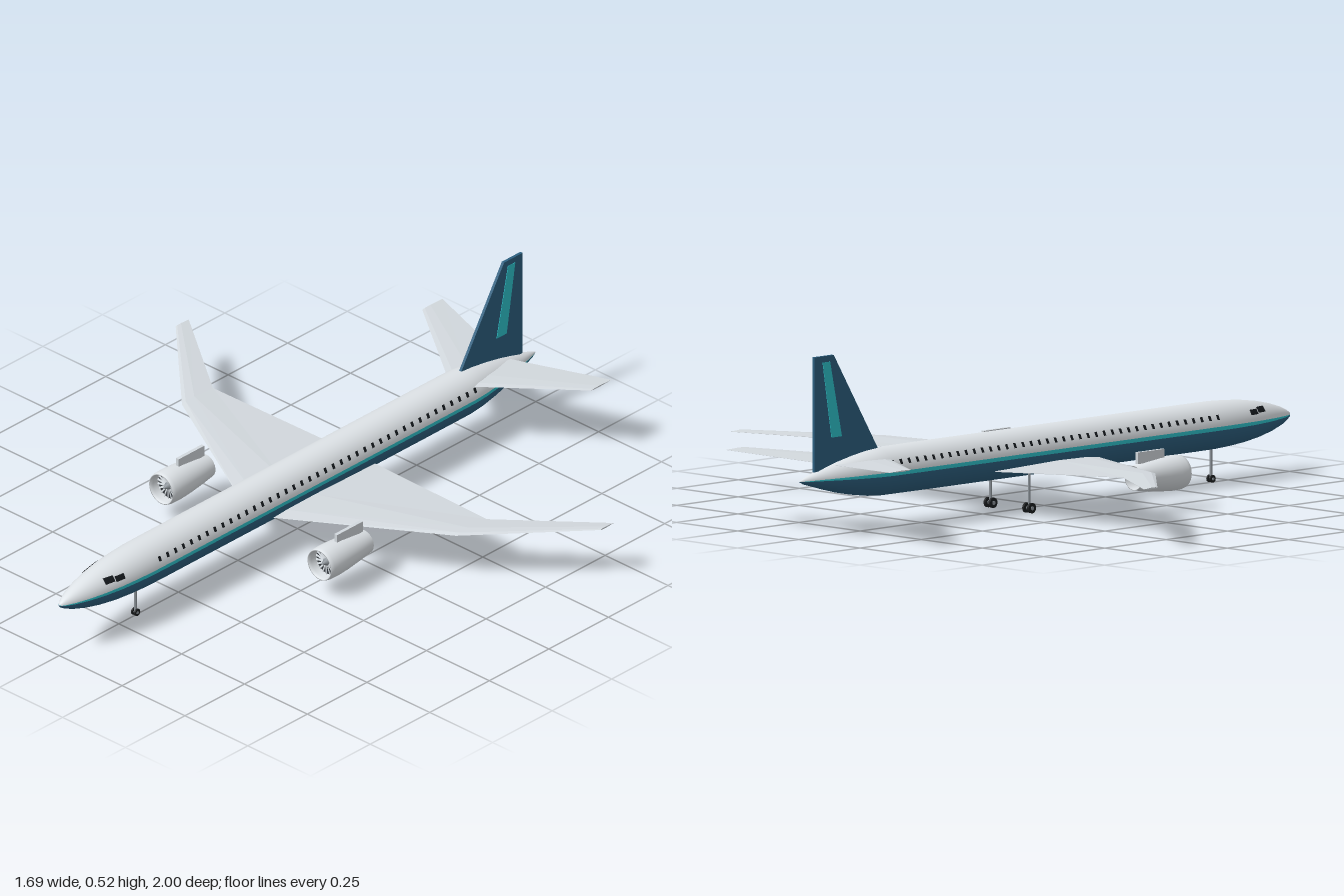
import * as THREE from 'three';

const mat = (name, color, side = THREE.FrontSide) => {
  const m = new THREE.MeshStandardMaterial({ color, side });
  m.name = name;
  return m;
};
const white = mat('white paint', 0xdfe4e8);
const wingGrey = mat('wing grey', 0xd3d9de, THREE.DoubleSide);
const blue = mat('deep blue', 0x2d6080);
const cyan = mat('cyan stripe', 0x2fc4cd, THREE.DoubleSide);
const glass = mat('dark glass', 0x14181c, THREE.DoubleSide);
const metal = mat('metal grey', 0x8b9298, THREE.DoubleSide);
const dark = mat('fan dark', 0x33383d);
const rubber = mat('tyre black', 0x1b1d1f);

const CY = 0.167; // height of the fuselage axis
// fuselage profile, tail to nose: [radius, z]
const profile = [[0, -1], [0.009, -0.98], [0.019, -0.945], [0.032, -0.9], [0.045, -0.85], [0.057, -0.79],
  [0.066, -0.73], [0.07, -0.68], [0.0705, -0.5], [0.0705, 0.6], [0.07, 0.68], [0.067, 0.74], [0.062, 0.8],
  [0.053, 0.86], [0.042, 0.91], [0.028, 0.955], [0.016, 0.982], [0.008, 0.995], [0, 1]];

function radiusAt(z) {
  const i = Math.max(1, profile.findIndex((p) => p[1] >= z));
  const [r0, z0] = profile[i - 1], [r1, z1] = profile[i];
  return r0 + (r1 - r0) * (z - z0) / (z1 - z0);
}

function add(parent, name, geometry, material, x = 0, y = 0, z = 0) {
  const m = new THREE.Mesh(geometry, material);
  m.name = name;
  m.position.set(x, y, z);
  parent.add(m);
  return m;
}

// Lathe lying along z; phi 0 is the underside, PI the top
function latheZ(points, segments = 32, start = 0, length = Math.PI * 2) {
  return new THREE.LatheGeometry(points.map((p) => new THREE.Vector2(...p)), segments, start, length)
    .rotateX(Math.PI / 2);
}

// Thin panel that hugs the fuselage side between two heights
function hullPatch(s, z0, z1, y0, y1, n) {
  const g = new THREE.PlaneGeometry(1, 1, n, n);
  const p = g.attributes.position;
  for (let i = 0; i < p.count; i++) {
    const z = z0 + (z1 - z0) * (p.getX(i) + 0.5);
    const y = y0 + (y1 - y0) * (p.getY(i) + 0.5);
    const r = radiusAt(z) + 0.0015;
    p.setXYZ(i, s * Math.sqrt(Math.max(0, r * r - (y - CY) ** 2)), y, z);
  }
  if (s > 0) g.index.array.reverse();
  g.computeVertexNormals();
  return g;
}

// Lifting surface lofted through sections [x, zLeading, zTrailing, y, thickness]
function loft(sections, s) {
  const loops = sections.map(([x, le, te, y, t]) => {
    const at = (f, h) => [s * x, y + h * t, le + (te - le) * f];
    return [at(0, 0), at(0.12, 0.38), at(0.4, 0.5), at(1, 0.05), at(1, -0.05), at(0.4, -0.5), at(0.12, -0.38)];
  });
  const n = loops[0].length, out = [];
  const tri = (a, b, c) => out.push(...a, ...(s > 0 ? [...b, ...c] : [...c, ...b]));
  for (let i = 0; i < loops.length - 1; i++) {
    for (let j = 0; j < n; j++) {
      const k = (j + 1) % n, A = loops[i], B = loops[i + 1];
      tri(A[j], B[j], B[k]);
      tri(A[j], B[k], A[k]);
    }
  }
  const tip = loops[loops.length - 1];
  for (let j = 1; j < n - 1; j++) tri(tip[0], tip[j + 1], tip[j]);
  const g = new THREE.BufferGeometry();
  g.setAttribute('position', new THREE.Float32BufferAttribute(out, 3));
  g.computeVertexNormals();
  return g;
}

// Flat plate outlined in (z, y), centred on x
function plate(points, thickness) {
  const shape = new THREE.Shape(points.map(([z, y]) => new THREE.Vector2(-z, y)));
  return new THREE.ExtrudeGeometry(shape, { depth: thickness, bevelEnabled: false })
    .translate(0, 0, -thickness / 2).rotateY(Math.PI / 2);
}

function engine(s) {
  const g = new THREE.Group();
  g.name = s > 0 ? 'leftEngine' : 'rightEngine';
  g.position.set(s * 0.315, 0.106, 0);
  add(g, 'nacelle', latheZ([[0.03, 0.11], [0.034, 0.05], [0.036, 0.05], [0.043, 0.1], [0.049, 0.155], [0.0515, 0.2],
    [0.0505, 0.228], [0.048, 0.24], [0.045, 0.24], [0.042, 0.23], [0.041, 0.2]]), white);
  add(g, 'fanDisc', new THREE.CylinderGeometry(0.0415, 0.0415, 0.006, 32).rotateX(Math.PI / 2), dark, 0, 0, 0.205);
  for (let i = 0; i < 18; i++) {
    const blade = new THREE.BoxGeometry(0.0055, 0.03, 0.002).rotateY(0.4).translate(0, 0.026, 0);
    add(g, 'fanBlade', blade, wingGrey, 0, 0, 0.211).rotation.z = i * Math.PI / 9;
  }
  add(g, 'spinner', new THREE.ConeGeometry(0.014, 0.024, 20).rotateX(Math.PI / 2), metal, 0, 0, 0.22);
  add(g, 'exhaust', new THREE.CylinderGeometry(0.031, 0.031, 0.004, 32).rotateX(Math.PI / 2), metal, 0, 0, 0.108);
  add(g, 'pylon', new THREE.BoxGeometry(0.011, 0.034, 0.108), wingGrey, 0, 0.057, 0.118);
  return g;
}

function landingGear(name, x, z, top, r, gap, width) {
  const g = new THREE.Group();
  g.name = name;
  g.position.set(x, 0, z);
  add(g, 'strut', new THREE.CylinderGeometry(0.004, 0.004, top - r, 10), metal, 0, (top + r) / 2, 0);
  add(g, 'axle', new THREE.CylinderGeometry(0.003, 0.003, gap * 2, 8).rotateZ(Math.PI / 2), metal, 0, r, 0);
  for (const s of [-1, 1]) {
    add(g, 'wheel', new THREE.CylinderGeometry(r, r, width, 20).rotateZ(Math.PI / 2), rubber, s * gap, r, 0);
    add(g, 'hub', new THREE.CylinderGeometry(r * 0.4, r * 0.4, width + 0.002, 12).rotateZ(Math.PI / 2), metal, s * gap, r, 0);
  }
  return g;
}

export function createModel() {
  const model = new THREE.Group();
  model.name = 'airliner';

  // Fuselage in colour bands: belly, a stripe on each side, crown
  const lo = Math.PI / 2 - 0.09, hi = Math.PI / 2 + 0.07;
  add(model, 'belly', latheZ(profile, 24, -lo, lo * 2), blue, 0, CY);
  add(model, 'leftStripe', latheZ(profile, 2, lo, hi - lo), cyan, 0, CY);
  add(model, 'rightStripe', latheZ(profile, 2, -hi, hi - lo), cyan, 0, CY);
  add(model, 'crown', latheZ(profile, 24, hi, (Math.PI - hi) * 2), white, 0, CY);

  // Tail fin and its painted bar
  add(model, 'fin', plate([[-0.68, 0.232], [-0.862, 0.525], [-0.94, 0.525], [-0.94, 0.19], [-0.8, 0.2]], 0.009), blue);
  const bar = plate([[-0.83, 0.285], [-0.872, 0.285], [-0.908, 0.507], [-0.878, 0.507]], 0.002);
  for (const s of [-1, 1]) add(model, 'finBar', bar, cyan, s * 0.005);

  for (const s of [-1, 1]) {
    const side = s > 0 ? 'left' : 'right';
    add(model, side + 'Wing', loft([[0.03, 0.181, -0.263, 0.13, 0.016], [0.07, 0.16, -0.26, 0.131, 0.016],
      [0.545, -0.09, -0.22, 0.157, 0.011], [0.845, -0.38, -0.435, 0.174, 0.005]], s), wingGrey);
    add(model, side + 'Tailplane', loft([[0.02, -0.655, -0.872, 0.205, 0.009], [0.07, -0.692, -0.885, 0.208, 0.008],
      [0.336, -0.878, -0.963, 0.224, 0.004]], s), wingGrey);
    model.add(engine(s));

    // Cabin windows and cockpit panes
    for (let i = 0; i < 41; i++) {
      const z = 0.645 - i * 0.0331;
      add(model, 'cabinWindow', hullPatch(s, z - 0.005, z + 0.005, 0.192, 0.206, 1), glass);
    }
    add(model, 'cockpitPane', hullPatch(s, 0.785, 0.818, 0.191, 0.206, 4), glass);
    add(model, 'cockpitPane', hullPatch(s, 0.821, 0.855, 0.194, 0.21, 4), glass);
    model.add(landingGear(side + 'MainGear', s * 0.079, -0.14, 0.132, 0.015, 0.01, 0.007));
  }
  model.add(landingGear('noseGear', 0, 0.68, 0.11, 0.011, 0.006, 0.005));
  return model;
}
